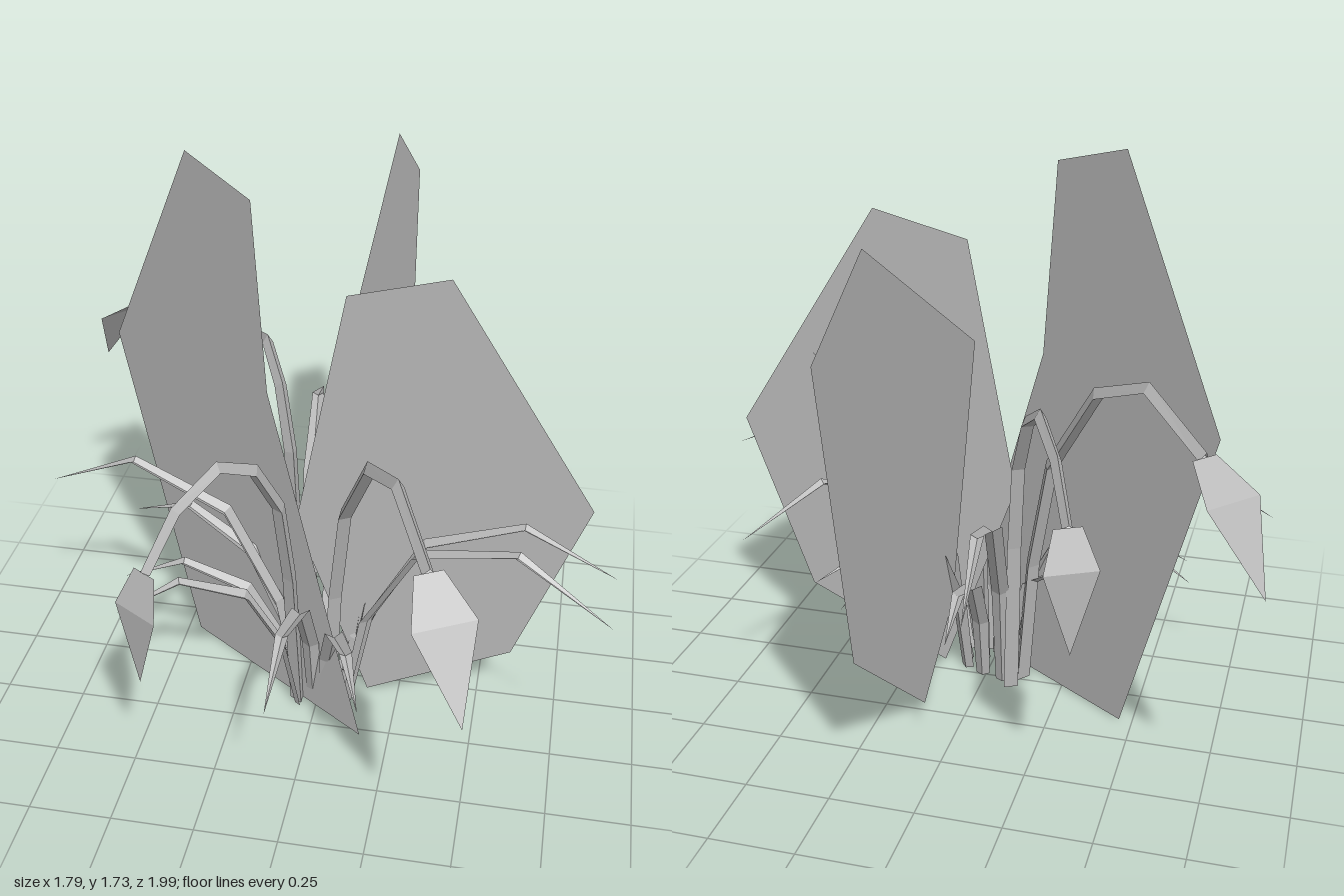
import * as THREE from 'three';

const leafGrey = new THREE.MeshStandardMaterial({ color: 0xb8b8b8, flatShading: true, side: THREE.DoubleSide });

function addMesh(group, name, geometry) {
  geometry.computeVertexNormals();
  const mesh = new THREE.Mesh(geometry, leafGrey);
  mesh.name = name;
  group.add(mesh);
}

// Sweep a cross-section along a path of [reach, height, size], bending in one vertical plane
function sweep(base, dir, path, section, closed) {
  const [dx, dz] = dir, n = section.length, pos = [], idx = [];
  path.forEach(([r, y, size], i) => {
    const a = path[Math.max(i - 1, 0)], b = path[Math.min(i + 1, path.length - 1)];
    const len = Math.hypot(b[0] - a[0], b[1] - a[1]);
    const tr = (b[0] - a[0]) / len, ty = (b[1] - a[1]) / len;
    for (const [s, h] of section) {
      const reach = r - ty * h * size, side = s * size;
      pos.push(base[0] + dx * reach + dz * side, y + tr * h * size, base[1] + dz * reach - dx * side);
    }
    if (i === 0) return;
    for (let k = 0; k < (closed ? n : n - 1); k++) {
      const k2 = (k + 1) % n, p = (i - 1) * n, q = i * n;
      idx.push(p + k, p + k2, q + k2, p + k, q + k2, q + k);
    }
  });
  const g = new THREE.BufferGeometry();
  g.setAttribute('position', new THREE.Float32BufferAttribute(pos, 3));
  g.setIndex(idx);
  return g;
}

// Direction and length between two points on the ground
function heading(from, to) {
  const x = to[0] - from[0], z = to[1] - from[1], length = Math.hypot(x, z);
  return { dir: [x / length, z / length], length };
}

// Flat, broad leaf: an outline in two axes placed by a rule
function broadLeaf(group, name, outline, place) {
  const g = new THREE.ShapeGeometry(new THREE.Shape(outline.map(p => new THREE.Vector2(...p))));
  const p = g.attributes.position;
  for (let i = 0; i < p.count; i++) p.setXYZ(i, ...place(p.getX(i), p.getY(i)));
  addMesh(group, name, g);
}

// Creased grass blade that arches over and droops to a point
const ARCH = [[0, 0, 0.8], [0.08, 0.46, 1], [0.28, 0.85, 1], [0.65, 1, 0.7], [1, 0.83, 0]];
const CREASE = [[-0.027, 0.006], [0, -0.01], [0.027, 0.006]];
function blade(group, base, tip, height, profile = ARCH) {
  const { dir, length } = heading(base, tip);
  const path = profile.map(([r, y, w]) => [r * length, y * height, w]);
  addMesh(group, 'grassBlade', sweep(base, dir, path, CREASE, false));
}

// Bent triangular stem carrying a folded, drooping bud
const TRIANGLE = [[-0.02, -0.012], [0.02, -0.012], [0, 0.022]];
function flower(group, base, end, profile, bud) {
  const { dir: [dx, dz], length } = heading(base, end);
  const path = profile.map(([r, y], i) => [r * length, y, 1.15 - i * 0.07]);
  addMesh(group, 'flowerStem', sweep(base, [dx, dz], path, TRIANGLE, true));
  const top = profile[profile.length - 1][1], pos = [];
  for (const [r, y, s] of [
    [0, 0, 0.04], [0, 0, -0.04],
    [bud.sideReach, -bud.sideDrop, bud.halfWidth], [bud.sideReach, -bud.sideDrop, -bud.halfWidth],
    [bud.tipReach, -bud.tipDrop, 0],
  ]) pos.push(end[0] + dx * r + dz * s, top + y, end[1] + dz * r - dx * s);
  const g = new THREE.BufferGeometry();
  g.setAttribute('position', new THREE.Float32BufferAttribute(pos, 3));
  g.setIndex([0, 2, 3, 0, 3, 1, 2, 4, 3]);
  addMesh(group, 'flowerBud', g);
}

export function createModel() {
  const plant = new THREE.Group();
  plant.name = 'plant';

  // Three broad upright leaves
  broadLeaf(plant, 'broadLeafRight',
    [[-0.46, 0], [0.16, 0], [-0.16, 1.08], [-0.2, 1.66], [-0.42, 1.73], [-0.73, 1.02]],
    (x, y) => [x, y, 0.166 + 0.68 * x]);
  broadLeaf(plant, 'broadLeafLeft',
    [[0.15, 0], [0.6, 0.22], [0.805, 0.78], [0.36, 1.485], [0.07, 1.41], [-0.08, 0.63]],
    (x, y) => [x, y, 0.055]);
  broadLeaf(plant, 'broadLeafBack',
    [[0.03, 1.11], [-0.75, 1.585], [-1, 1.37], [-0.74, 0.44], [-0.23, 0.01], [-0.04, 0.27]],
    (z, y) => [0.1075 - 0.057 * y - 0.11 * z, y, z]);

  // Two tall flowers and two shorter ones
  const tall = [[0.02, 0], [0.08, 0.42], [0.19, 0.78], [0.45, 1.07], [0.72, 1.155], [1, 1.04]];
  const short = [[0, 0], [0.05, 0.5], [0.12, 0.78], [0.29, 0.96], [0.53, 1.04], [0.8, 0.98], [1, 0.84]];
  const openBud = { sideReach: 0.115, sideDrop: 0.08, halfWidth: 0.088, tipReach: 0.25, tipDrop: 0.295 };
  const hangingBud = { sideReach: 0.045, sideDrop: 0.11, halfWidth: 0.077, tipReach: 0.045, tipDrop: 0.35 };
  flower(plant, [0.02, 0.07], [0.4, 0.77], tall, openBud);
  flower(plant, [-0.1, 0.03], [-0.71, -0.51], tall, openBud);
  flower(plant, [-0.06, 0.14], [-0.37, 0.65], short, hangingBud);
  flower(plant, [-0.09, -0.04], [-0.38, -0.59], short, hangingBud);

  // Arching grass: base, tip, peak height
  for (const [base, tip, height] of [
    [[-0.06, 0.13], [-0.87, 0], 0.79],
    [[-0.06, 0.11], [-0.65, -0.13], 0.58],
    [[-0.06, 0.15], [-0.61, 0.14], 0.5],
    [[-0.06, 0.16], [-0.57, 0.35], 0.53],
    [[-0.08, 0.05], [-0.28, -0.07], 0.4],
    [[-0.06, -0.02], [-0.15, -0.79], 0.75],
    [[0.01, 0], [-0.01, -0.48], 0.45],
    [[0.07, 0.03], [0.27, -0.55], 0.585],
    [[0.08, 0.08], [0.6, -0.46], 0.74],
    [[0.08, 0.1], [0.48, -0.22], 0.45],
    [[0.1, 0.12], [0.89, 0.18], 0.77],
    [[0.09, 0.13], [0.88, 0.43], 0.79],
    [[0.03, 0.15], [0.2, 0.59], 0.46],
    [[-0.01, 0.14], [-0.03, 0.75], 0.585],
  ]) blade(plant, base, tip, height);

  // One upright blade rising beside the back leaf
  blade(plant, [0.08, 0.06], [0.43, -0.29], 1.15,
    [[0, 0, 0.8], [0.1, 0.35, 1], [0.3, 0.6, 1], [0.68, 0.84, 0.7], [1, 1, 0]]);

  return plant;
}
